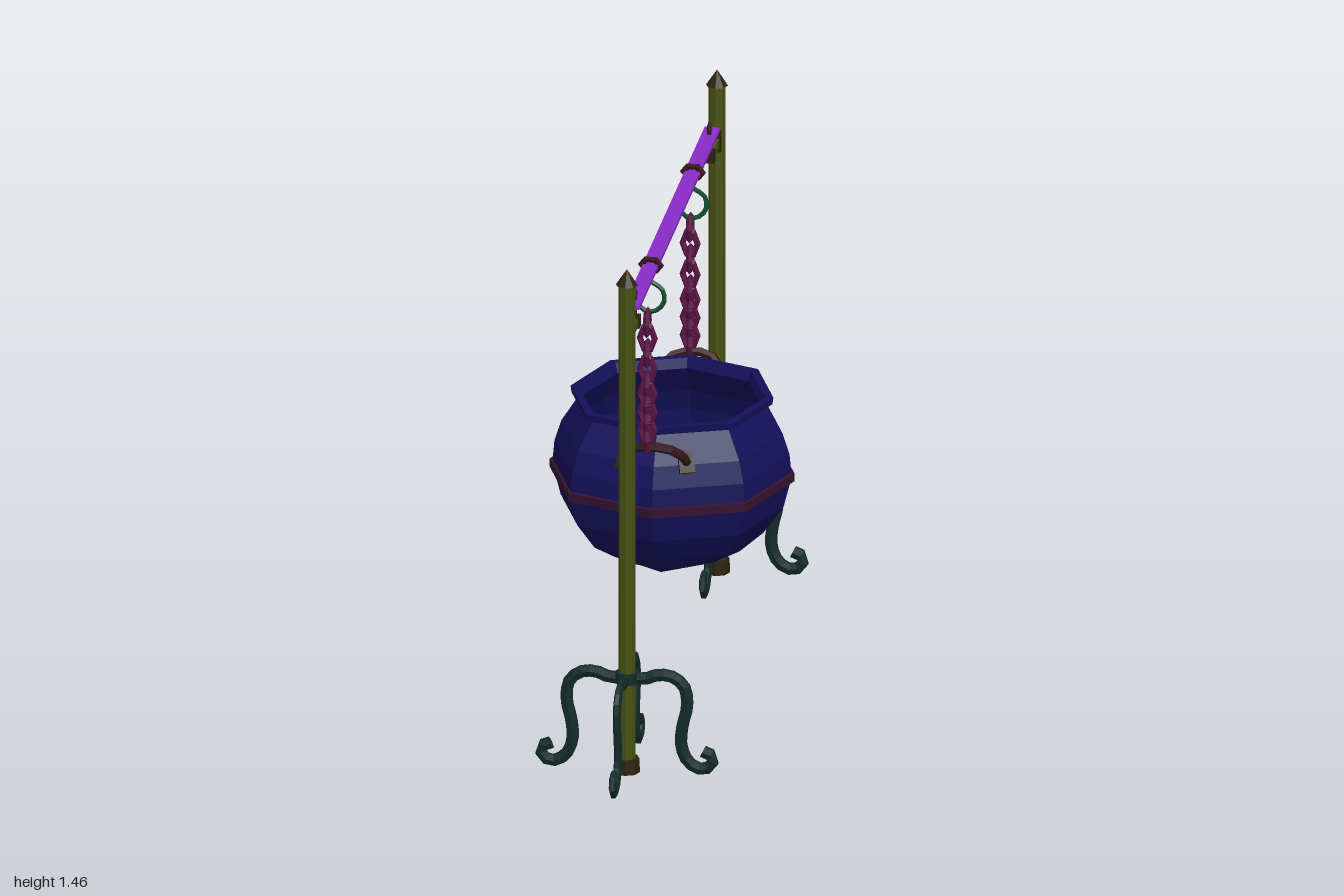
import * as THREE from 'three';

const mat = (color) => new THREE.MeshStandardMaterial({ color, flatShading: true, side: THREE.DoubleSide });
const V = (x, y, z) => new THREE.Vector3(x, y, z);

export function createModel() {
  const model = new THREE.Group();
  const navy = mat(0x15105a), olive = mat(0x485216), teal = mat(0x122c29), purple = mat(0x8a2cc8);
  const plum = mat(0x5a1444), iron = mat(0x2c230e), rust = mat(0x36191c), green = mat(0x14502f), maroon = mat(0x34122e);

  const add = (parent, name, geometry, material, x = 0, y = 0, z = 0) => {
    const mesh = new THREE.Mesh(geometry, material);
    mesh.name = name;
    mesh.position.set(x, y, z);
    parent.add(mesh);
    return mesh;
  };
  const group = (parent, name) => {
    const g = new THREE.Group();
    g.name = name;
    parent.add(g);
    return g;
  };
  const tube = (points, segments, radius, sides) =>
    new THREE.TubeGeometry(new THREE.CatmullRomCurve3(points), segments, radius, sides);

  // Eight-sided turned shape whose diagonal corners stand out slightly
  const octagon = (profile) => {
    const geometry = new THREE.LatheGeometry(profile.map(([r, y]) => new THREE.Vector2(r, y)), 8);
    const p = geometry.attributes.position;
    for (let i = profile.length; i < p.count; i++) {
      if (Math.floor(i / profile.length) % 2) p.setXYZ(i, p.getX(i) * 1.03, p.getY(i), p.getZ(i) * 1.03);
    }
    return geometry;
  };

  // Scrolled foot, flattened across its plane
  const footPath = [[0.01, 0.272], [0.05, 0.272], [0.085, 0.285], [0.125, 0.282], [0.157, 0.255],
    [0.165, 0.2], [0.152, 0.14], [0.149, 0.085], [0.167, 0.04], [0.2, 0.02], [0.23, 0.03],
    [0.234, 0.058], [0.208, 0.071]];
  const foot = tube(footPath.map(([x, y]) => V(x, y, 0)), 22, 0.0185, 6);
  foot.scale(1, 1, 0.6);

  // S-shaped hook under the bar
  const hook = tube([[0, 1.31], [-0.01, 1.283], [0.004, 1.265], [0.03, 1.248], [0.037, 1.215], [0.02, 1.188],
    [-0.01, 1.18], [-0.033, 1.198], [-0.039, 1.228]].map(([x, y]) => V(x, y, 0)), 14, 0.007, 5);

  // Chain link, taller than wide
  const link = new THREE.TorusGeometry(0.02, 0.009, 5, 6);
  link.scale(1, 1.6, 1);
  // Link heights, closer together towards the handle
  const linkHeights = [1.15, 1.105, 1.06, 1.015, 0.97, 0.942, 0.915, 0.89, 0.865, 0.838, 0.812];

  // Arched lifting handle
  const handle = tube([[-0.084, 0.715, 0.268], [-0.085, 0.742, 0.305], [-0.07, 0.768, 0.335], [-0.04, 0.787, 0.354],
    [0.04, 0.787, 0.354], [0.07, 0.768, 0.335], [0.085, 0.742, 0.305], [0.084, 0.715, 0.268]]
    .map((p) => V(...p)), 9, 0.013, 6);

  // Everything that repeats at the front and back
  for (const side of [0, 1]) {
    const half = group(model, side ? 'backHalf' : 'frontHalf');
    const stand = group(half, 'stand');
    stand.position.z = 0.748;
    add(stand, 'post', new THREE.CylinderGeometry(0.023, 0.023, 1.42, 8), olive, 0, 0.71, 0);
    add(stand, 'postBase', new THREE.CylinderGeometry(0.034, 0.036, 0.04, 8), iron, 0, 0.02, 0);
    add(stand, 'footCollar', new THREE.CylinderGeometry(0.033, 0.033, 0.03, 8), teal, 0, 0.274, 0);
    add(stand, 'finial', new THREE.ConeGeometry(0.03, 0.045, 8), iron, 0, 1.435, 0);
    for (let i = 0; i < 4; i++) add(stand, 'scrollFoot', foot, teal).rotation.y = i * Math.PI / 2;

    // Bracket arm with an upright pin through the bar
    add(stand, 'bracketPlate', new THREE.BoxGeometry(0.03, 0.06, 0.014), iron, 0, 1.26, -0.026);
    add(stand, 'bracketArm', new THREE.BoxGeometry(0.022, 0.024, 0.12), olive, 0, 1.257, -0.075);
    add(stand, 'bracketEnd', new THREE.BoxGeometry(0.03, 0.034, 0.028), iron, 0, 1.257, -0.13);
    add(stand, 'bracketPin', new THREE.CylinderGeometry(0.007, 0.007, 0.07, 6), iron, 0, 1.305, -0.13);
    add(stand, 'pinTip', new THREE.ConeGeometry(0.009, 0.03, 6), iron, 0, 1.35, -0.13);

    // Ring on the bar, hook and chain
    const hanger = group(half, 'hanger');
    hanger.position.z = 0.348;
    const ring = new THREE.TorusGeometry(0.025, 0.011, 5, 6);
    ring.scale(1, 0.75, 1.2);
    add(hanger, 'barRing', ring, rust, 0, 1.315, 0);
    add(hanger, 'hook', hook, green);
    linkHeights.forEach((y, i) => {
      add(hanger, 'chainLink', link, plum, -0.009, y, 0.007).rotation.y = i % 2 ? 0 : Math.PI / 2;
    });

    // Handle and its mounting plates
    add(half, 'handle', handle, rust);
    for (const s of [-1, 1]) {
      const plate = add(half, 'handlePlate', new THREE.BoxGeometry(0.042, 0.06, 0.016), iron, s * 0.083, 0.717, 0.27);
      plate.rotation.set(-0.5, s * 0.39, 0, 'YXZ');
    }
    half.rotation.y = side * Math.PI;
    // Keep both chains offset to the same side after the turn
    if (side) hanger.scale.x = -1;
  }

  // Flat crossbar
  add(model, 'crossbar', new THREE.BoxGeometry(0.042, 0.011, 1.34), purple, 0, 1.315, 0);

  // Cauldron with a thin wall, hollow inside and a recessed base
  const cauldron = group(model, 'cauldron');
  const profile = [[0, 0.39], [0.14, 0.39], [0.185, 0.36], [0.25, 0.418], [0.305, 0.495], [0.328, 0.585],
    [0.322, 0.65], [0.303, 0.71], [0.255, 0.785], [0.275, 0.793], [0.278, 0.812], [0.255, 0.812],
    [0.245, 0.785], [0.29, 0.705], [0.309, 0.645], [0.313, 0.585], [0.29, 0.5], [0.24, 0.435],
    [0.2, 0.405], [0, 0.405]];
  const bowl = octagon(profile);
  // Raise every other corner of the base rim for a scalloped edge
  for (let i = 1; i < 8; i += 2) bowl.attributes.position.setY(i * profile.length + 2, 0.376);
  add(cauldron, 'bowl', bowl, navy);
  add(cauldron, 'band', octagon([[0.32, 0.57], [0.335, 0.573], [0.335, 0.597], [0.32, 0.6]]), maroon);

  return model;
}
